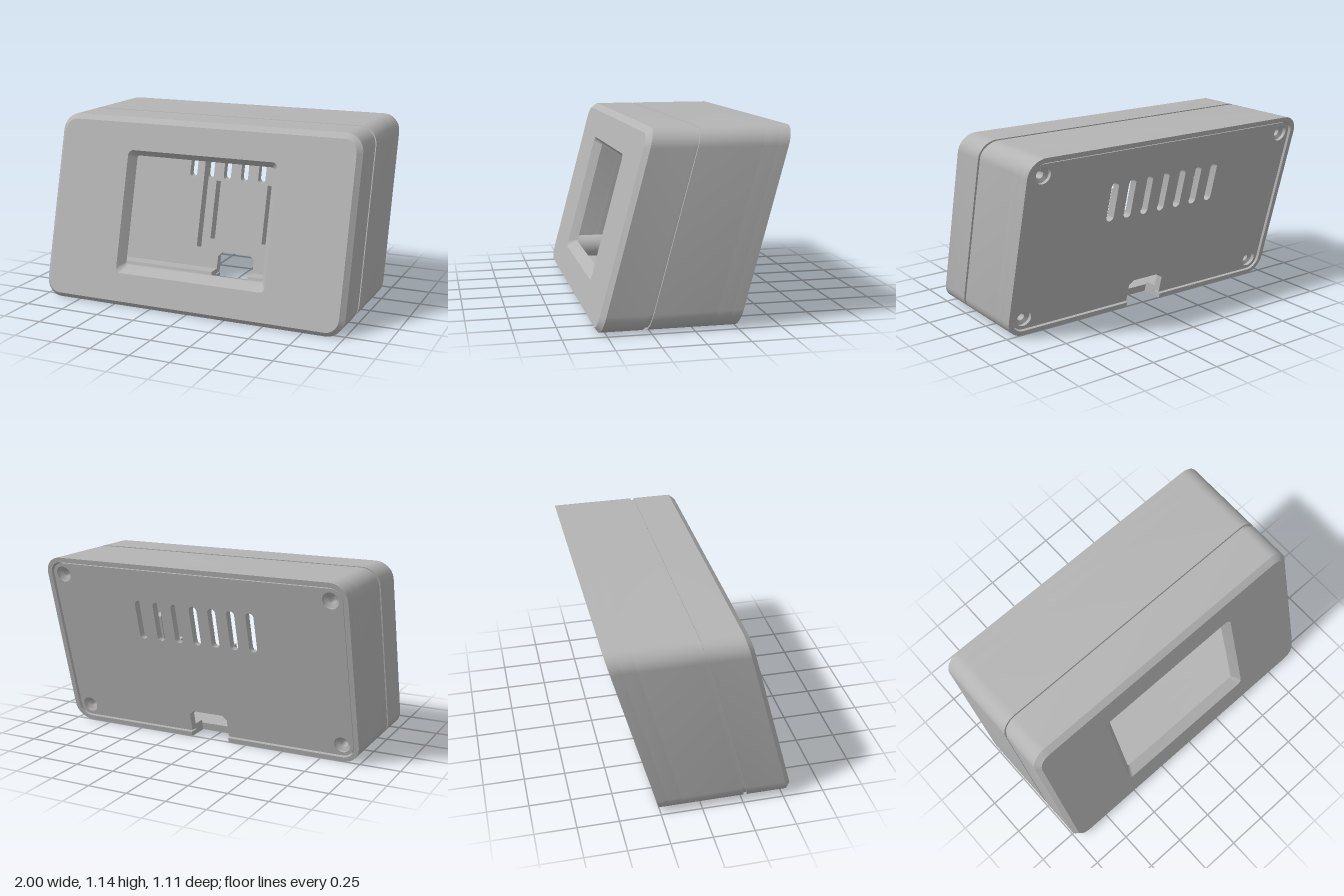
import * as THREE from 'three';
import { toCreasedNormals } from 'three/addons/utils/BufferGeometryUtils.js';

const H = 1.14, LEAN = Math.tan(Math.PI / 12);
const NOTCH = 0.13; // half width of the cable notch
const BACK = -0.25, FRONT = 0.565, LID_IN = -0.185;

// Rounded rectangle, counter-clockwise from the bottom edge
function rounded(hw, y0, y1, r, cx = 0, steps = 10) {
  const pts = [];
  const corners = [[hw - r, y0 + r], [hw - r, y1 - r], [r - hw, y1 - r], [r - hw, y0 + r]];
  corners.forEach(([x, y], c) => {
    for (let i = 0; i <= steps; i++) {
      const a = (c - 1 + i / steps) * Math.PI / 2;
      pts.push(new THREE.Vector2(cx + x + r * Math.cos(a), y + r * Math.sin(a)));
    }
  });
  return pts;
}

// Outline of the case, moved inwards by an inset
const outline = (inset) => rounded(1 - inset, inset, H - inset, Math.max(0.11 - inset, 0.03));

// Everything is built upright, then leaned back
function lean(geometry) {
  const p = geometry.attributes.position;
  for (let i = 0; i < p.count; i++) p.setZ(i, p.getZ(i) - LEAN * p.getY(i));
  return toCreasedNormals(geometry, 0.4);
}

// Extruded outline with holes between two depths
function slab(points, holes, z0, z1) {
  const shape = new THREE.Shape(points);
  holes.forEach((h) => shape.holes.push(new THREE.Path(h)));
  const g = new THREE.ExtrudeGeometry(shape, { depth: z1 - z0, bevelEnabled: false });
  return lean(g.translate(0, 0, z0));
}

// Skin through a series of matching outlines, each [points, depth]
function skin(rings) {
  const pos = [];
  const put = (v, z) => pos.push(v.x, v.y, z);
  for (let k = 0; k + 1 < rings.length; k++) {
    const [a, za] = rings[k], [b, zb] = rings[k + 1];
    for (let i = 0; i < a.length; i++) {
      const j = (i + 1) % a.length;
      put(a[i], za); put(a[j], za); put(b[j], zb);
      put(a[i], za); put(b[j], zb); put(b[i], zb);
    }
  }
  const g = new THREE.BufferGeometry();
  g.setAttribute('position', new THREE.Float32BufferAttribute(pos, 3));
  return lean(g);
}

// Wall section left open at the bottom for the cable notch
function openWall(thickness, z0, z1) {
  const v = (x, y) => new THREE.Vector2(x, y);
  return slab([
    v(NOTCH, 0), ...outline(0), v(-NOTCH, 0),
    v(-NOTCH, thickness), ...outline(thickness).reverse(), v(NOTCH, thickness),
  ], [], z0, z1);
}

export function createModel() {
  const group = new THREE.Group();
  const grey = new THREE.MeshStandardMaterial({ color: 0xb4b4b4, side: THREE.DoubleSide });
  grey.name = 'plainGrey';
  const add = (name, geometry) => {
    const mesh = new THREE.Mesh(geometry, grey);
    mesh.name = name;
    group.add(mesh);
  };

  // Front cover: chamfered rim, bevelled window and hollow inside
  add('frontCover', skin([
    [outline(0), 0.29],
    [outline(0), FRONT - 0.03],
    [outline(0.03), FRONT],
    [rounded(0.5, 0.2, 0.945, 0.035), FRONT],
    [rounded(0.46, 0.24, 0.905, 0.015), FRONT - 0.055],
    [outline(0.05), FRONT - 0.055],
    [outline(0.05), 0.29],
    [outline(0), 0.29],
  ]));

  // Recessed seam between the two halves
  add('seam', slab(outline(0.012), [outline(0.05)], 0.26, 0.3));

  // Rear body, with a thin lip and a ledge holding the lid
  add('rearBody', slab(outline(0), [outline(0.05)], -0.1, 0.268));
  add('lidLedge', openWall(0.07, LID_IN, -0.1));
  add('rearLip', openWall(0.03, BACK, LID_IN));

  // Lid with vents, screw holes and the cable notch
  const screws = [];
  for (const x of [-0.89, 0.89]) for (const y of [0.11, H - 0.11]) screws.push([x, y]);
  const holes = screws.map(([x, y]) => rounded(0.05, y - 0.05, y + 0.05, 0.0499, x, 6));
  for (let i = -3; i <= 3; i++) holes.push(rounded(0.026, 0.65, 0.9, 0.0255, i * 0.125, 6));
  const lidEdge = outline(0.038);
  const notch = [[-NOTCH, 0.038], [-NOTCH, 0.15], [-NOTCH + 0.03, 0.18],
    [NOTCH - 0.03, 0.18], [NOTCH, 0.15], [NOTCH, 0.038]].map(([x, y]) => new THREE.Vector2(x, y));
  add('lid', slab([...lidEdge, ...notch], holes, BACK + 0.013, LID_IN));

  // Countersunk screw sockets with posts behind them
  for (const [x, y] of screws) {
    const socket = [[0, -0.12], [0.024, -0.12], [0.024, -0.2], [0.05, -0.212], [0.05, BACK + 0.013]]
      .map(([r, z]) => new THREE.Vector2(r, z));
    add('screwSocket', lean(new THREE.LatheGeometry(socket, 24).rotateX(Math.PI / 2).translate(x, y, 0)));
    add('screwPost', lean(new THREE.CylinderGeometry(0.08, 0.08, 0.61, 24)
      .rotateX(Math.PI / 2).translate(x, y, 0.205)));
  }

  // Upright ribs on the inside of the lid, square to its slope
  const depth = 0.075;
  for (const side of [-1, 1]) {
    for (const [x, w, y0, y1] of [[0.28, 0.036, 0.2, 0.8], [0.184, 0.032, 0.262, 0.637]]) {
      const g = new THREE.BoxGeometry(w, y1 - y0, depth)
        .translate(side * x, (y0 + y1) / 2, LID_IN + depth / 2);
      const p = g.attributes.position;
      for (let i = 0; i < p.count; i++) p.setY(i, p.getY(i) + LEAN * (p.getZ(i) - LID_IN));
      add('lidRib', lean(g));
    }
  }
  return group;
}
